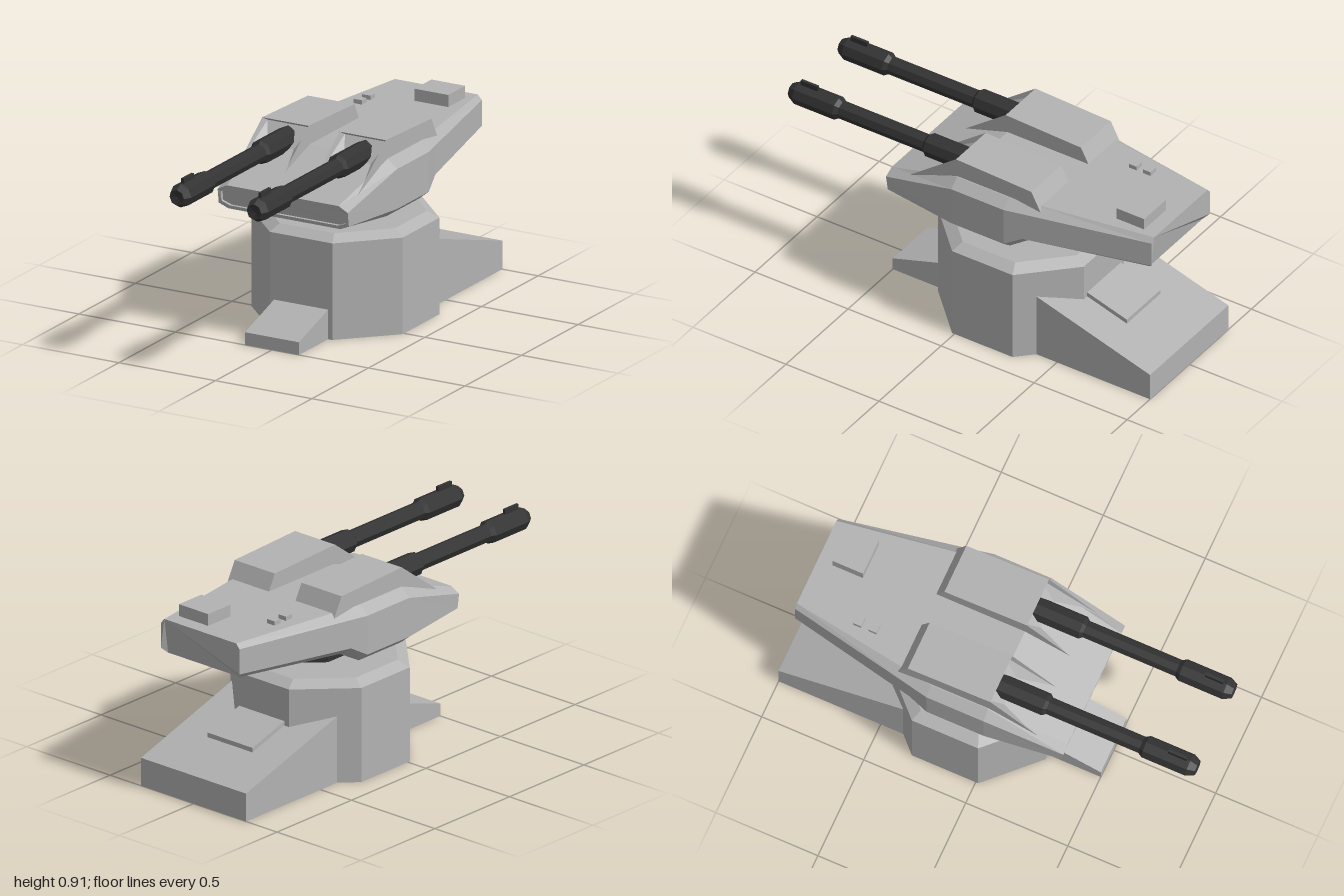
import * as THREE from 'three';

const grey = new THREE.MeshStandardMaterial({ color: 0xb2b2b2, side: THREE.DoubleSide });
grey.name = 'armour grey';
const dark = new THREE.MeshStandardMaterial({ color: 0x333333 });
dark.name = 'gun metal';

// Flat facets: every face gets its own normals
function flat(geo) {
  const g = geo.index ? geo.toNonIndexed() : geo;
  g.computeVertexNormals();
  return g;
}

// Surface from corner points and polygon faces (counter-clockwise)
function facets(points, faces) {
  const pos = [];
  for (const f of faces)
    for (let i = 1; i < f.length - 1; i++)
      pos.push(...points[f[0]], ...points[f[i]], ...points[f[i + 1]]);
  const g = new THREE.BufferGeometry();
  g.setAttribute('position', new THREE.Float32BufferAttribute(pos, 3));
  return flat(g);
}

// Octagonal turned shape, profile runs from bottom to top
function octagon(profile, turn = 0) {
  const g = new THREE.LatheGeometry(profile.map(([r, y]) => new THREE.Vector2(r, y)), 8);
  return flat(g.rotateY(turn));
}

// Wedge with sloping top and open underside, rising from z0 to z1
function wedge(hw, zBack, yBack, zFront, yFront, yBase = 0) {
  const p = [];
  for (const [z, y] of [[zBack, yBack], [zFront, yFront]])
    p.push([-hw, yBase, z], [hw, yBase, z], [hw, y, z], [-hw, y, z]);
  return facets(p, [[4, 5, 6, 7], [1, 0, 3, 2], [5, 1, 2, 6], [0, 4, 7, 3], [7, 6, 2, 3]]);
}

// Skin over octagonal cross-sections ordered front to back, capped at both ends
function loft(halves) {
  const points = [], faces = [];
  for (const half of halves)
    points.push(...half, ...half.slice().reverse().map(([x, y, z]) => [-x, y, z]));
  for (let s = 0; s < halves.length - 1; s++)
    for (let i = 0; i < 8; i++) {
      const j = (i + 1) % 8, a = s * 8, b = a + 8;
      faces.push([a + i, a + j, b + j, b + i]);
    }
  const ring = [0, 1, 2, 3, 4, 5, 6, 7], last = (halves.length - 1) * 8;
  faces.push(ring.slice().reverse(), ring.map(i => i + last));
  return facets(points, faces);
}

export function createModel() {
  const model = new THREE.Group();
  model.name = 'gunTurret';
  const add = (name, geo, mat, parent = model) => {
    const m = new THREE.Mesh(geo, mat);
    m.name = name;
    parent.add(m);
    return m;
  };
  const box = (name, x0, x1, y0, y1, z0, z1, mat, parent) =>
    add(name, new THREE.BoxGeometry(x1 - x0, y1 - y0, z1 - z0), mat, parent)
      .position.set((x0 + x1) / 2, (y0 + y1) / 2, (z0 + z1) / 2);

  // Pedestal: bevelled octagon, open below
  const c = 1 / Math.cos(Math.PI / 8);
  add('pedestal', octagon([[0.392 * c, 0], [0.392 * c, 0.455], [0.34 * c, 0.485], [0, 0.485]], Math.PI / 8),
    grey).position.z = -0.15;
  add('neck', octagon([[0.128 * c, 0.47], [0.128 * c, 0.6]], Math.PI / 8), dark).position.z = -0.187;

  // Ramps at the foot, and the sloping hatch on the rear one
  add('rearRamp', wedge(0.315, -1, 0.135, -0.39, 0.32), grey);
  add('frontRamp', wedge(0.14, 0.22, 0.146, 0.5, 0.06), grey);
  const hatch = [];
  for (const [z, y] of [[-0.755, 0.205], [-0.54, 0.27]])
    for (const h of [0, 0.026]) hatch.push([-0.135, y + h, z], [0.135, y + h, z]);
  add('rampHatch', facets(hatch, [[2, 6, 7, 3], [1, 0, 2, 3], [4, 5, 7, 6], [0, 4, 6, 2], [5, 1, 3, 7]]), grey);

  // Head: half sections (top, upper side, lower side, bottom), with a recessed nose panel
  const nosePanel = dz => [[0.28, 0.69, 0.404 - dz], [0.323, 0.665, 0.4 - dz],
    [0.323, 0.62, 0.396 - dz], [0.28, 0.603, 0.393 - dz]];
  add('head', loft([
    nosePanel(0.015),
    nosePanel(0),
    [[0.29, 0.70, 0.405], [0.337, 0.675, 0.405], [0.337, 0.608, 0.395], [0.29, 0.587, 0.39]],
    [[0.325, 0.82, 0.03], [0.373, 0.78, 0.03], [0.373, 0.592, 0.03], [0.32, 0.55, 0.03]],
    [[0.325, 0.82, -0.25], [0.373, 0.78, -0.25], [0.373, 0.592, -0.25], [0.32, 0.55, -0.25]],
    [[0.309, 0.82, -0.34], [0.355, 0.782, -0.34], [0.355, 0.645, -0.34], [0.305, 0.608, -0.34]],
    [[0.215, 0.82, -0.955], [0.235, 0.797, -0.955], [0.235, 0.675, -0.955], [0.215, 0.65, -0.93]],
  ]), grey);

  // Roof fittings
  box('roofBox', 0.015, 0.19, 0.81, 0.877, -0.885, -0.735, grey);
  for (const z of [-0.665, -0.59])
    box('roofKnob', -0.205, -0.16, 0.81, 0.84, z - 0.02, z + 0.02, grey);

  // Gun housing: side outline at both walls, plus a tapering pocket at the front
  const outline = [[0.725, 0.285], [0.91, 0.04], [0.895, -0.365], [0.8, -0.415], [0.78, 0.02]];
  const corners = [
    ...outline.map(([y, z]) => [-0.12, y, z]),
    ...outline.map(([y, z]) => [0.12, y, z]),
    [-0.112, 0.89, 0.005], [0.112, 0.89, 0.005], [-0.06, 0.785, 0.1], [0.06, 0.785, 0.1],
  ];
  const housing = facets(corners, [
    [1, 2, 3, 4, 0], [6, 5, 9, 8, 7],          // outer walls
    [1, 6, 7, 2], [2, 7, 8, 3],                // roof and back
    [1, 10, 11, 6], [10, 12, 13, 11],          // pocket lip and rear
    [0, 12, 10, 1], [5, 6, 11, 13], [0, 5, 13, 12], // pocket cheeks and floor
  ]);

  // Barrel: sleeve, tube and muzzle along +z
  const barrel = octagon([
    [0, -0.05], [0.056, -0.05], [0.056, 0.26], [0.042, 0.275], [0.042, 0.73],
    [0.055, 0.75], [0.055, 0.965], [0.037, 1], [0, 0.99],
  ]).rotateX(Math.PI / 2);

  for (const side of [-1, 1]) {
    const gun = new THREE.Group();
    gun.name = side > 0 ? 'leftGun' : 'rightGun';
    gun.position.x = side * 0.2;
    add('gunHousing', housing, grey, gun);
    add('barrel', barrel, dark, gun).position.y = 0.828;
    box('sight', -0.007, 0.007, 0.86, 0.905, 0.86, 0.95, dark, gun);
    model.add(gun);
  }
  return model;
}
